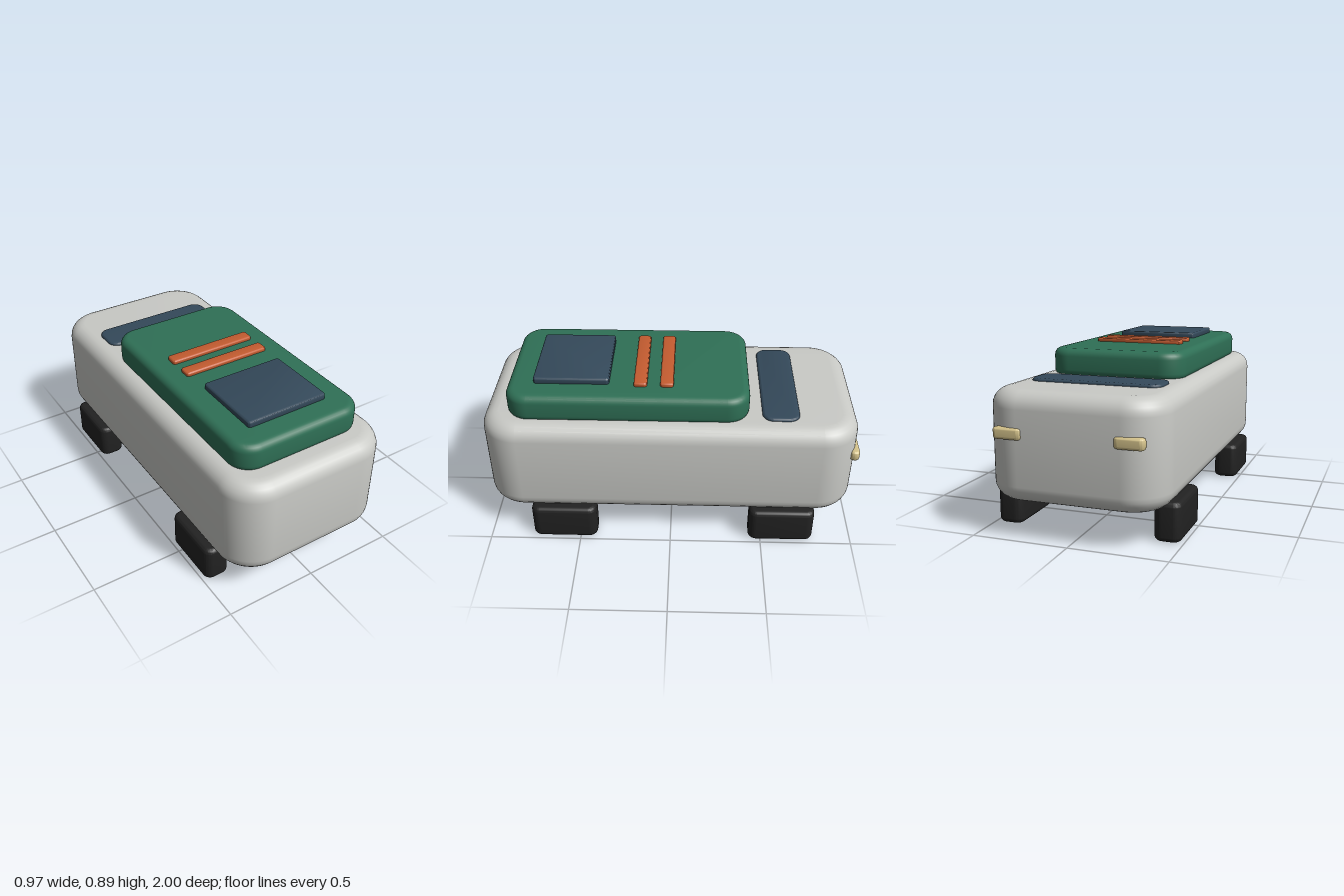
import * as THREE from 'three';
import { toCreasedNormals } from 'three/addons/utils/BufferGeometryUtils.js';

const paint = (name, color) => {
  const m = new THREE.MeshStandardMaterial({ color });
  m.name = name;
  return m;
};

// Slab with rounded plan corners (radius r) and rounded rims (bevel b)
function slabGeometry([x0, x1], [y0, y1], [z0, z1], r, b) {
  const w = (x1 - x0) / 2 - b, d = (z1 - z0) / 2 - b, c = Math.max(r - b, 0.002);
  const s = new THREE.Shape();
  s.absarc(w - c, d - c, c, 0, Math.PI / 2);
  s.absarc(c - w, d - c, c, Math.PI / 2, Math.PI);
  s.absarc(c - w, c - d, c, Math.PI, Math.PI * 1.5);
  s.absarc(w - c, c - d, c, Math.PI * 1.5, Math.PI * 2);
  s.closePath();
  const g = new THREE.ExtrudeGeometry(s, {
    depth: y1 - y0 - 2 * b, bevelEnabled: true, bevelSize: b,
    bevelThickness: b, bevelSegments: 6, curveSegments: 8,
  });
  g.translate(0, 0, b);
  g.rotateX(-Math.PI / 2);
  g.translate((x0 + x1) / 2, y0, (z0 + z1) / 2);
  return toCreasedNormals(g, 0.6);
}

export function createModel() {
  const model = new THREE.Group();
  model.name = 'vehicle';
  const grey = paint('light grey', 0xc9cac6);
  const green = paint('green', 0x2f7056);
  const navy = paint('slate blue', 0x34495a);
  const orange = paint('orange', 0xc45c30);
  const black = paint('black', 0x222222);
  const cream = paint('cream', 0xd6c48c);

  const add = (name, material, x, y, z, r, b) => {
    const mesh = new THREE.Mesh(slabGeometry(x, y, z, r, b), material);
    mesh.name = name;
    model.add(mesh);
  };

  // Body and raised roof
  add('body', grey, [-0.457, 0.457], [0.178, 0.722], [-0.987, 1], 0.2, 0.085);
  add('roof', green, [-0.368, 0.368], [0.705, 0.857], [-0.41, 0.862], 0.12, 0.04);

  // Roof fittings and rear window
  add('roofPanel', navy, [-0.229, 0.229], [0.845, 0.888], [0.325, 0.722], 0.016, 0.01);
  for (const z of [0.023, 0.161])
    add('roofStripe', orange, [-0.247, 0.247], [0.845, 0.877], [z - 0.035, z + 0.035], 0.015, 0.008);
  add('rearWindow', navy, [-0.347, 0.347], [0.705, 0.736], [-0.673, -0.478], 0.06, 0.012);

  // Wheels and rear lamps, mirrored left and right
  for (const side of [1, -1]) {
    const span = (a, b) => (side > 0 ? [a, b] : [-b, -a]);
    add('frontWheel', black, span(0.348, 0.486), [0, 0.2], [0.407, 0.763], 0.045, 0.025);
    add('rearWheel', black, span(0.348, 0.486), [0, 0.2], [-0.788, -0.432], 0.045, 0.025);
    add('rearLamp', cream, span(0.23, 0.38), [0.493, 0.55], [-1, -0.948], 0.024, 0.014);
  }
  return model;
}
